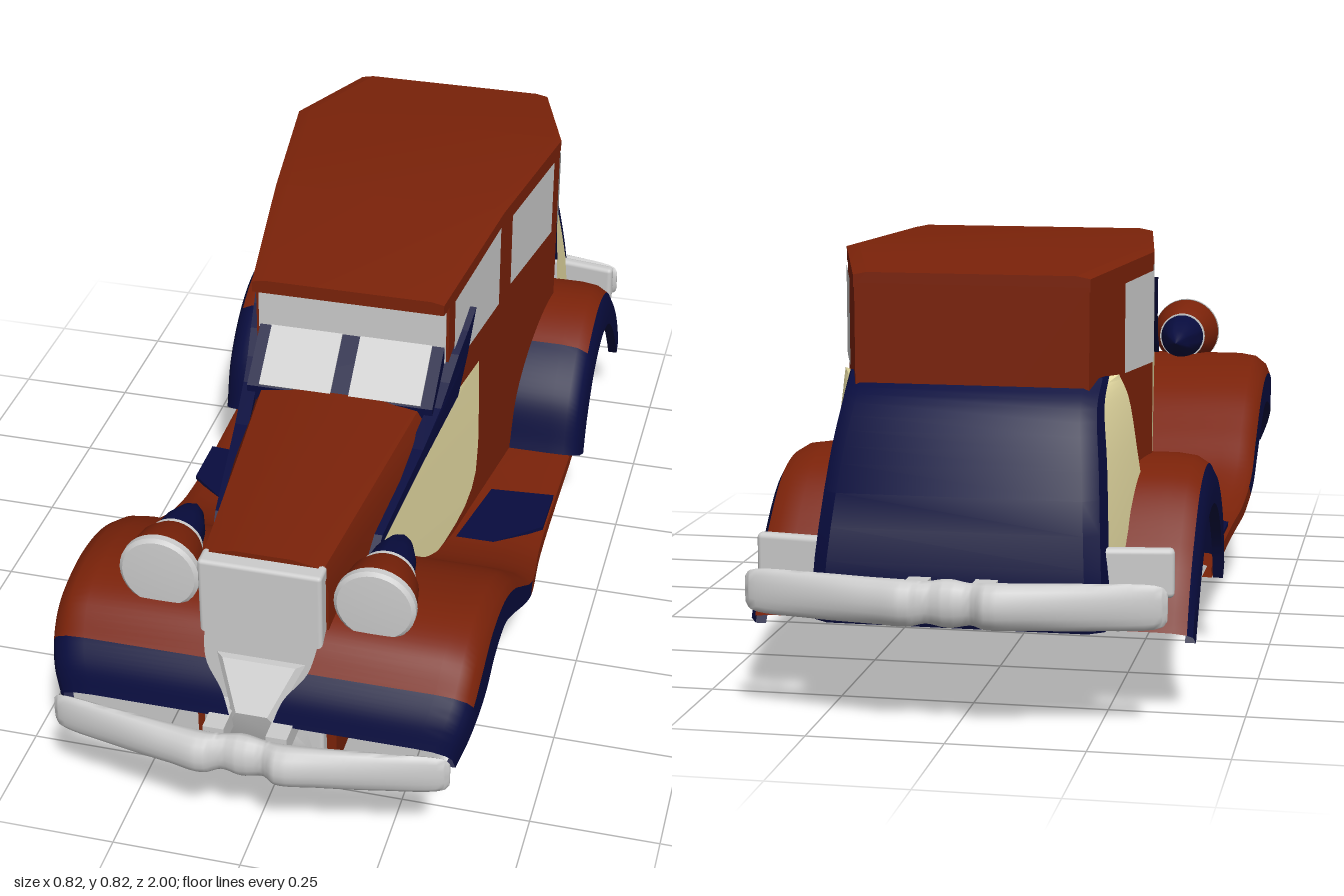
import * as THREE from 'three';
import { toCreasedNormals } from 'three/addons/utils/BufferGeometryUtils.js';
import { RoundedBoxGeometry } from 'three/addons/geometries/RoundedBoxGeometry.js';

const paint = (color) => new THREE.MeshStandardMaterial({ color, side: THREE.DoubleSide });
const red = paint(0x7a2209), blue = paint(0x080c3e), cream = paint(0xeee3a8);
const grey = paint(0xcccccc), black = paint(0x161616);
const { lerp } = THREE.MathUtils;

// Body half-width at a given z
const PLAN = [[0.84, 0.117], [0.2, 0.193], [-0.5, 0.293], [-0.77, 0.21]];
function bodyWidth(z) {
  if (z >= PLAN[0][0]) return PLAN[0][1];
  for (let i = 1; i < PLAN.length; i++) {
    const [z0, w0] = PLAN[i - 1], [z1, w1] = PLAN[i];
    if (z >= z1) return lerp(w0, w1, (z - z0) / (z1 - z0));
  }
  return 0.21;
}

// Skin through rows of [x, y, z] points; closed rows get end caps
function loft(rows, closed = false, crease = 0.6) {
  const n = rows[0].length, pos = rows.flat(2), index = [];
  for (let i = 0; i < rows.length - 1; i++) {
    for (let j = 0; j < (closed ? n : n - 1); j++) {
      const a = i * n + j, b = i * n + (j + 1) % n;
      index.push(a, b, a + n, b, b + n, a + n);
    }
  }
  if (closed) {
    const last = (rows.length - 1) * n;
    for (let j = 1; j < n - 1; j++) index.push(0, j + 1, j, last, last + j, last + j + 1);
  }
  const g = new THREE.BufferGeometry();
  g.setAttribute('position', new THREE.Float32BufferAttribute(pos, 3));
  g.setIndex(index);
  return toCreasedNormals(g, crease);
}

// Resample rows along smooth curves
function smooth(rows, n) {
  const cols = rows[0].map((_, j) =>
    new THREE.CatmullRomCurve3(rows.map((r) => new THREE.Vector3(...r[j]))).getPoints(n));
  return cols[0].map((_, i) => cols.map((c) => c[i].toArray()));
}

// Mirror a half section (listed from the +x side) into a closed row
const mirrorRow = (half) => [...half, ...half.map(([x, y, z]) => [-x, y, z]).reverse()];

const shape = (points) => new THREE.Shape(points.map((p) => new THREE.Vector2(...p)));

// Outline in (z, y) laid onto the body side, flat or with thickness
function sidePanel(points, off, depth = 0) {
  const g = depth ? new THREE.ExtrudeGeometry(shape(points), { depth, bevelEnabled: false })
    : new THREE.ShapeGeometry(shape(points));
  const p = g.attributes.position;
  for (let i = 0; i < p.count; i++) {
    const z = p.getX(i);
    p.setXYZ(i, bodyWidth(z) + off + p.getZ(i), p.getY(i), z);
  }
  g.computeVertexNormals();
  return g;
}

// Fender sections: top edge at the body, rounded shoulder, lip at the outside
function fenderRows(stations, inner) {
  return smooth(stations.map(([zt, yt, zl, yl, outer = 0.41]) => {
    const at = (x, k) => [x, lerp(yt, yl, k), lerp(zt, zl, k)];
    return [at(inner(zt), 0), at(outer - 0.07, 0), at(outer - 0.035, 0.05), at(outer - 0.012, 0.2),
      at(outer - 0.002, 0.4), at(outer, 1), at(outer - 0.02, 1)];
  }), 66);
}

export function createModel() {
  const car = new THREE.Group();
  const add = (name, geo, mat, x = 0, y = 0, z = 0) => {
    const m = new THREE.Mesh(geo, mat);
    m.name = name;
    m.position.set(x, y, z);
    car.add(m);
    return m;
  };
  const pair = (name, geo, mat, x = 0, y = 0, z = 0) => {
    add(name + 'Left', geo, mat, x, y, z);
    add(name + 'Right', geo, mat, -x, y, z).scale.x = -1;
  };
  const box = (w, h, d) => new THREE.BoxGeometry(w, h, d);

  // Cabin and roof
  const roofLine = [[0.165, 0.777], [-0.14, 0.81], [-0.5, 0.806], [-0.757, 0.782]];
  add('cabin', loft(roofLine.map(([z, y]) => mirrorRow(
    [[bodyWidth(z), 0.18, z], [bodyWidth(z), y - 0.01, z]])), true, 0.2), red);
  add('roof', loft([[0.2, 0.775], ...roofLine.slice(1)].map(([z, y]) => {
    const w = bodyWidth(z) + 0.002;
    return mirrorRow([[w, y - 0.018, z], [w, y + 0.005, z], [w - 0.025, y + 0.01, z]]);
  }), true, 0.2), red);

  // Side windows
  [[[0.14, 0.605], [-0.12, 0.61], [-0.12, 0.79], [0.14, 0.758]],
    [[-0.19, 0.62], [-0.455, 0.61], [-0.455, 0.78], [-0.19, 0.783]],
    [[-0.502, 0.605], [-0.622, 0.6], [-0.622, 0.765], [-0.502, 0.777]],
  ].forEach((p, i) => pair('sideWindow' + i, sidePanel(p, 0.003), grey));

  // Hood and radiator
  add('hood', loft([[0.8, 0.56], [0.5, 0.567], [0.16, 0.578]].map(([z, y]) => {
    const w = bodyWidth(z), top = w - 0.008 - (w - 0.117) * 0.25;
    return mirrorRow([[w, 0.185, z], [w, y - 0.05, z], [top, y, z], [top * 0.5, y + 0.012, z]]);
  }), true), red);
  add('radiator', new RoundedBoxGeometry(0.234, 0.45, 0.045, 2, 0.008), grey, 0, 0.337, 0.808);
  add('nosePlate', loft([[0.36, 0.085, 0.845], [0.28, 0.045, 0.9], [0.2, 0.085, 0.875],
    [0.15, 0.1, 0.845], [0.112, 0.11, 0.76]].map(([y, w, z]) =>
    mirrorRow([[w, y, 0.72], [w, y, z - 0.015], [w - 0.015, y, z]])), true), grey);
  pair('frontRail', box(0.02, 0.1, 0.27), red, 0.126, 0.157, 0.672);

  // Windshield
  const wedge = shape([[-0.165, 0.55], [-0.27, 0.55], [-0.27, 0.582], [-0.165, 0.668]]);
  add('windshieldFrame', new THREE.ExtrudeGeometry(wedge, { depth: 0.38, bevelEnabled: false })
    .rotateY(Math.PI / 2).translate(-0.19, 0, 0), blue);
  const lean = Math.atan2(0.105, 0.086);
  for (const s of [-1, 1]) {
    const pane = add('windshieldPane', box(0.147, 0.128, 0.006), grey, s * 0.092, 0.625, 0.2175);
    pane.rotation.x = -lean;
  }
  add('upperWindshield', box(0.385, 0.185, 0.01), grey, 0, 0.667, 0.163);

  // Painted side panels
  pair('creamPanel', sidePanel([[0.61, 0.46], [0.35, 0.505], [0.15, 0.54], [0, 0.54], [-0.008, 0.42],
    [-0.01, 0.33], [0, 0.265], [0.022, 0.235], [0.06, 0.215], [0.11, 0.205], [0.18, 0.202], [0.25, 0.21],
    [0.33, 0.24], [0.41, 0.28], [0.51, 0.35], [0.6, 0.4]], 0.005), cream);
  pair('cowlFlash', sidePanel([[0.055, 0.7], [0.1, 0.67], [0.15, 0.642], [0.2, 0.605], [0.25, 0.575],
    [0.35, 0.54], [0.57, 0.485], [0.6, 0.46], [0.35, 0.51], [0.15, 0.545], [0.1, 0.615]],
  -0.012, 0.028), blue);

  // Trunk: y, front z and x, corner z and x, back z
  const trunk = [[0.18, -0.52, 0.297, -0.85, 0.27, -0.9], [0.25, -0.54, 0.297, -0.86, 0.268, -0.92],
    [0.46, -0.61, 0.28, -0.79, 0.252, -0.855], [0.56, -0.64, 0.268, -0.745, 0.24, -0.8],
    [0.605, -0.67, 0.255, -0.69, 0.24, -0.735]];
  add('trunk', loft(smooth(trunk.map(([y, , , zc, xc, zb]) => mirrorRow(
    [[xc, y, zc], [xc - 0.008, y, zb + 0.02], [xc - 0.035, y, zb]])), 16), true), blue);
  pair('trunkSide', loft(smooth(trunk.map(([y, zf, xf, zc, xc]) =>
    [[xf, y, zf], [xc, y, zc]]), 16)), cream);

  // Fenders and running boards: red top, blue lip, blue end
  const cut = (rows, r0, r1, c0, c1) => loft(rows.slice(r0, r1 + 1).map((r) => r.slice(c0, c1 + 1)));
  const front = fenderRows([[0.905, 0.27, 0.87, 0.21, 0.378], [0.89, 0.32, 0.845, 0.25, 0.394],
    [0.86, 0.365, 0.81, 0.285, 0.405], [0.81, 0.42, 0.76, 0.31], [0.72, 0.445, 0.69, 0.335],
    [0.6, 0.43, 0.6, 0.34], [0.5, 0.39, 0.51, 0.3], [0.4, 0.32, 0.42, 0.25], [0.3, 0.245, 0.33, 0.205],
    [0.2, 0.2, 0.24, 0.165, 0.402], [0.1, 0.178, 0.1, 0.145, 0.39], [-0.3, 0.175, -0.3, 0.145, 0.388]],
  (z) => (z > 0.85 ? lerp(0.11, 0.04, (z - 0.85) / 0.055) : bodyWidth(z) - 0.01));
  pair('frontFenderNose', cut(front, 0, 12, 0, 6), blue);
  pair('frontFender', cut(front, 12, 66, 0, 4), red);
  pair('frontFenderLip', cut(front, 12, 50, 4, 6), blue);
  pair('runningBoardEdge', cut(front, 50, 66, 4, 6), red);
  const mat = shape([[0.21, -0.15], [0.27, -0.15], [0.384, -0.05], [0.384, 0.07], [0.25, 0.06]]);
  pair('runningBoardMat', new THREE.ExtrudeGeometry(mat, { depth: 0.008, bevelEnabled: false })
    .rotateX(-Math.PI / 2), blue, 0, 0.174, 0);

  const rear = fenderRows([[-0.23, 0.18, -0.3, 0.145], [-0.27, 0.3, -0.33, 0.22],
    [-0.37, 0.39, -0.4, 0.3], [-0.49, 0.43, -0.49, 0.335], [-0.61, 0.405, -0.58, 0.32],
    [-0.72, 0.31, -0.67, 0.25], [-0.77, 0.245, -0.72, 0.19], [-0.81, 0.165, -0.76, 0.135]], () => 0.235);
  pair('rearFenderFront', cut(rear, 0, 18, 0, 6), blue);
  pair('rearFender', cut(rear, 18, 66, 0, 3), red);
  pair('rearFenderLip', cut(rear, 18, 66, 3, 6), blue);

  // Headlights
  const turned = (pts) => toCreasedNormals(new THREE.LatheGeometry(
    pts.map((p) => new THREE.Vector2(...p)), 32).rotateX(Math.PI / 2), 0.6);
  pair('headlightLens', turned([[0.077, 0.775], [0.077, 0.788], [0.07, 0.794], [0, 0.798]]),
    grey, 0.205, 0.487);
  pair('headlightBowl', turned([[0.05, 0.69], [0.066, 0.72], [0.076, 0.775]]), red, 0.205, 0.487);
  pair('headlightRing', turned([[0, 0.688], [0.053, 0.688], [0.053, 0.7]]), grey, 0.205, 0.487);
  pair('headlightTail', turned([[0, 0.56], [0.025, 0.595], [0.042, 0.64], [0.05, 0.69]]),
    blue, 0.205, 0.487);

  // Bumpers: x, centre z, half depth, half height
  const half = [[0.378, 0.918, 0.004, 0.025], [0.368, 0.922, 0.008, 0.036], [0.25, 0.943, 0.018, 0.042],
    [0.14, 0.96, 0.027, 0.042], [0.07, 0.968, 0.032, 0.042], [0.04, 0.958, 0.024, 0.038]];
  const bar = [...half, [0, 0.958, 0.03, 0.044], ...half.map(([x, ...r]) => [-x, ...r]).reverse()];
  const bumper = loft(smooth(bar.map(([x, z, rz, ry]) => Array.from({ length: 16 }, (_, i) => {
    const a = i / 16 * Math.PI * 2;
    return [x, 0.235 + ry * Math.sin(a), z + rz * Math.cos(a)];
  })), 72), true, 1);
  add('frontBumper', bumper, grey);
  add('rearBumper', bumper, grey, 0, 0.005).rotation.y = Math.PI;
  for (const z of [0.9, -0.92]) pair('bumperBracket', box(0.04, 0.04, 0.09), grey, 0.06, 0.255, z);
  pair('rearSideBar', new RoundedBoxGeometry(0.15, 0.09, 0.026, 2, 0.01).rotateY(-0.15),
    grey, 0.305, 0.28, -0.84);

  // Underside panels
  for (const [z, d, w] of [[0.36, 0.22, 0.26], [-0.25, 0.26, 0.4], [-0.58, 0.28, 0.4]]) {
    add('floorPanel', box(w, 0.006, d), blue, 0, 0.181, z);
  }

  // Wheel
  const wheel = new THREE.Group();
  wheel.name = 'wheel';
  wheel.position.set(0, 0.165, 0.005);
  car.add(wheel);
  const part = (name, geo, material) => {
    const m = new THREE.Mesh(geo, material);
    m.name = name;
    wheel.add(m);
    return m;
  };
  part('tire', toCreasedNormals(new THREE.LatheGeometry([[0.1, -0.03], [0.12, -0.041], [0.155, -0.04],
    [0.165, -0.03], [0.165, 0.03], [0.155, 0.04], [0.12, 0.041], [0.1, 0.03]]
    .map((p) => new THREE.Vector2(...p)), 40).rotateZ(Math.PI / 2), 0.6), black);
  part('rim', new THREE.CylinderGeometry(0.102, 0.102, 0.056, 32).rotateZ(Math.PI / 2), black);
  part('hub', new THREE.SphereGeometry(0.066, 32, 16).scale(0.6, 1, 1), grey);
  for (let i = 0; i < 8; i++) {
    const a = i / 8 * Math.PI * 2;
    const slot = part('rimSlot', box(0.062, 0.018, 0.042), grey);
    slot.position.set(0, 0.09 * Math.cos(a), 0.09 * Math.sin(a));
    slot.rotation.x = a;
  }
  return car;
}
